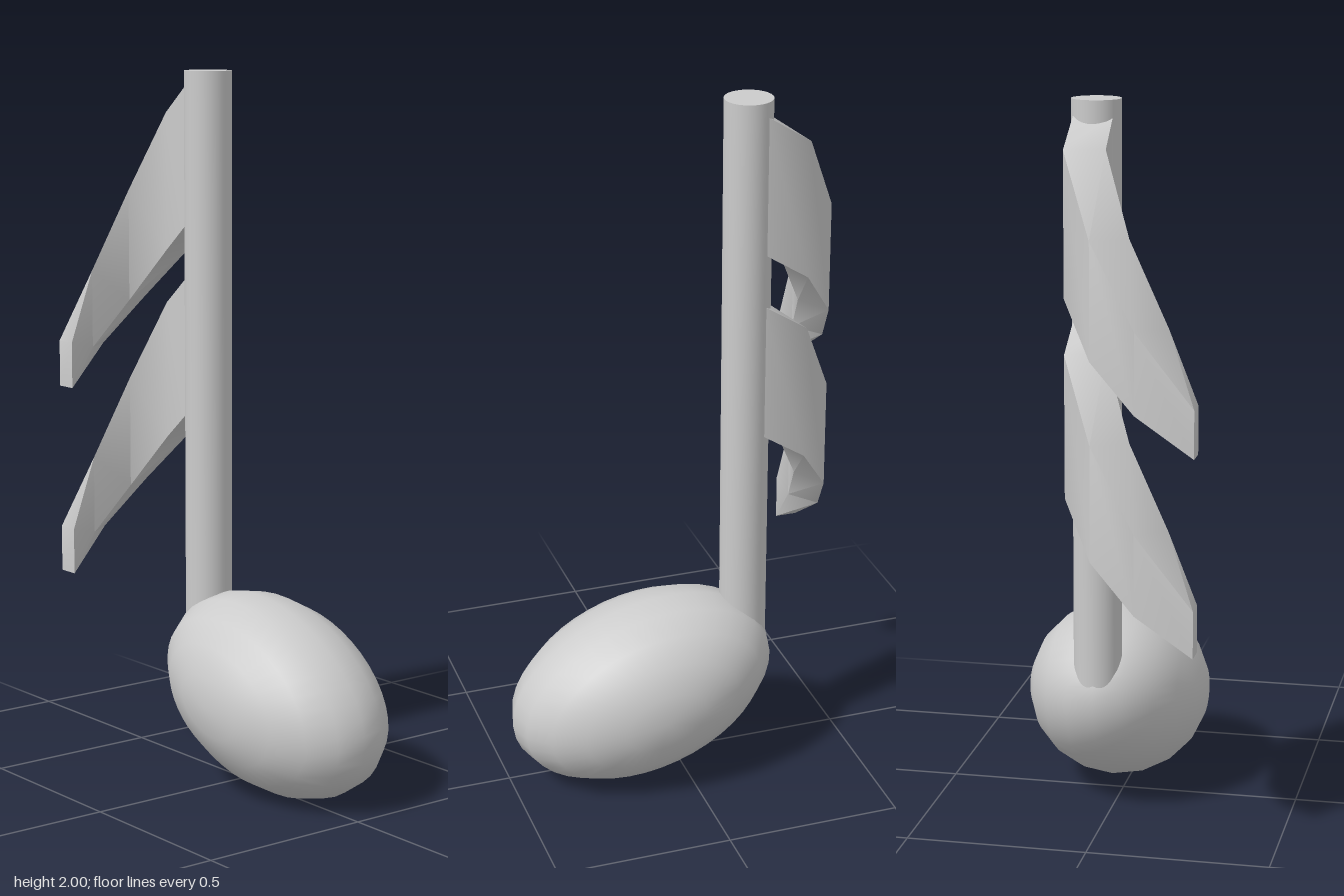
import * as THREE from 'three';
import { toCreasedNormals } from 'three/addons/utils/BufferGeometryUtils.js';

const STEM_X = 0.03;

// Curved flag: four-cornered sections swept backwards, then sideways and down
function flagGeometry() {
  // inner x, inner z, outer x, outer z, top y, bottom y
  const sections = [
    [-0.022, -0.235, 0.085, -0.235, 1.96, 1.57],
    [-0.022, -0.33, 0.085, -0.36, 1.88, 1.49],
    [-0.10, -0.405, -0.005, -0.46, 1.66, 1.345],
    [-0.21, -0.432, -0.13, -0.494, 1.435, 1.215],
    [-0.287, -0.425, -0.287, -0.487, 1.235, 1.105],
  ];
  const positions = [];
  for (const [ix, iz, ox, oz, top, bottom] of sections) {
    positions.push(ix, top, iz, ox, top, oz, ox, bottom, oz, ix, bottom, iz);
  }
  const index = [];
  const quad = (a, b, c, d) => index.push(a, b, c, a, c, d);
  const last = (sections.length - 1) * 4;
  for (let s = 0; s < last; s += 4) {
    for (let k = 0; k < 4; k++) {
      const n = (k + 1) % 4;
      quad(s + k, s + n, s + 4 + n, s + 4 + k);
    }
  }
  quad(3, 2, 1, 0);
  quad(last, last + 1, last + 2, last + 3);
  const geometry = new THREE.BufferGeometry();
  geometry.setAttribute('position', new THREE.Float32BufferAttribute(positions, 3));
  geometry.setIndex(index);
  return toCreasedNormals(geometry, 0.85);
}

export function createModel() {
  const model = new THREE.Group();
  model.name = 'musicalNote';
  const material = new THREE.MeshStandardMaterial({ color: 0xcccccc });

  const add = (name, geometry, x, y, z) => {
    const mesh = new THREE.Mesh(geometry, material);
    mesh.name = name;
    mesh.position.set(x, y, z);
    model.add(mesh);
    return mesh;
  };

  // Note head: stretched sphere with its poles along x, front end tipped down
  const headGeometry = new THREE.SphereGeometry(1, 40, 10);
  headGeometry.rotateZ(Math.PI / 2).scale(0.253, 0.253, 0.396);
  const head = add('noteHead', headGeometry, STEM_X, 0.273, 0.107);
  head.rotation.x = THREE.MathUtils.degToRad(17.5);

  // Stem, sunk into the back of the head
  const bottom = 0.33;
  add('stem', new THREE.CylinderGeometry(0.067, 0.067, 2 - bottom, 40), STEM_X, (2 + bottom) / 2, -0.202);

  // Two identical flags, one above the other
  const flag = flagGeometry();
  add('upperFlag', flag, 0, 0, 0);
  add('lowerFlag', flag, 0, -0.54, 0);

  return model;
}
